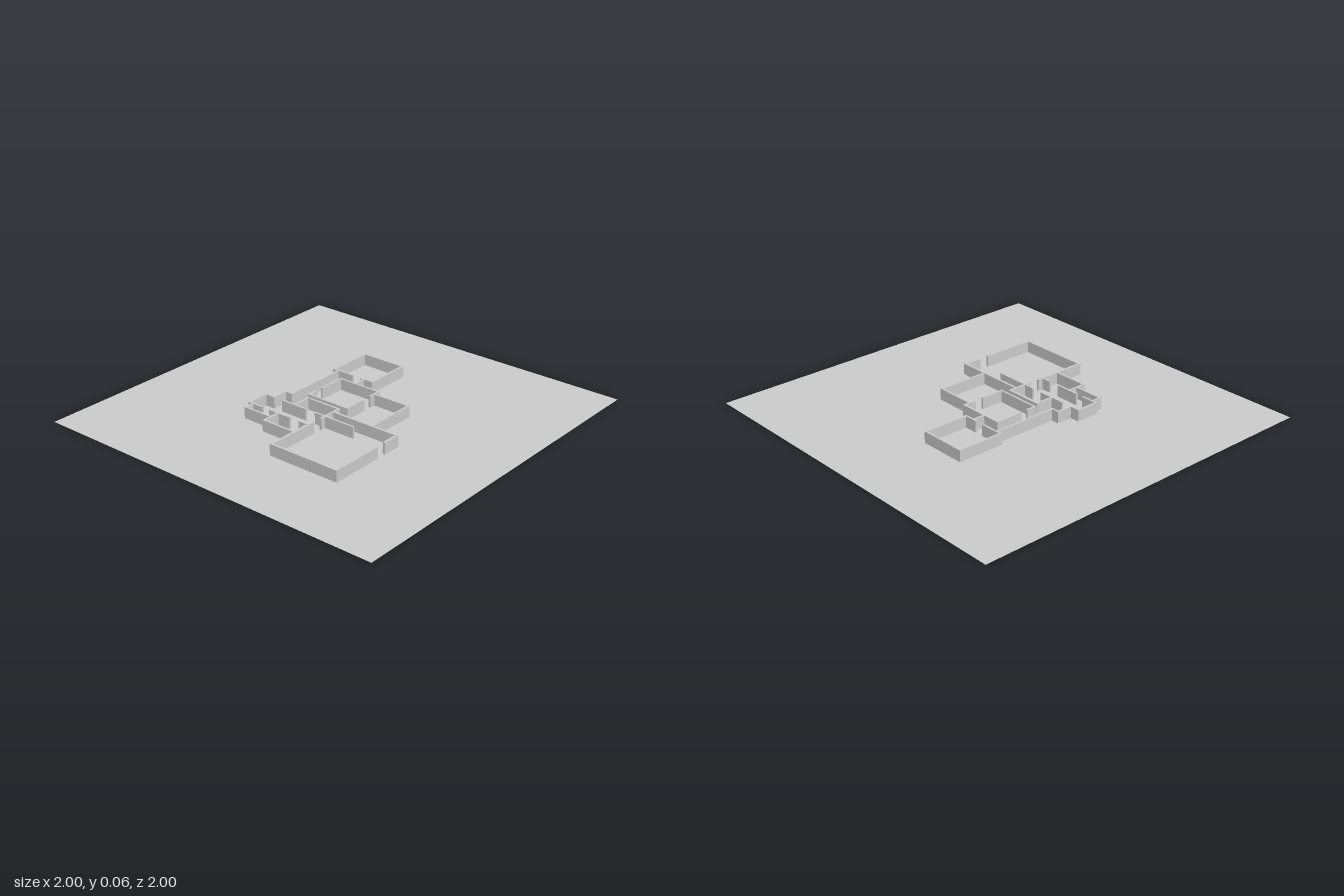
import * as THREE from 'three';

const HEIGHT = 0.062;
const THICK = 0.011;

export function createModel() {
  const model = new THREE.Group();
  const material = new THREE.MeshStandardMaterial({ color: 0xcccccc, flatShading: true });

  // Ground sheet, visible from both sides
  const sheetMaterial = material.clone();
  sheetMaterial.side = THREE.DoubleSide;
  const ground = new THREE.Mesh(new THREE.PlaneGeometry(2, 2).rotateX(-Math.PI / 2), sheetMaterial);
  ground.name = 'groundSheet';
  model.add(ground);

  // Each wall runs along one axis: [x1, z1, x2, z2] on its centre line
  function addRoom(name, walls, thick = THICK) {
    const room = new THREE.Group();
    room.name = name;
    for (const [x1, z1, x2, z2] of walls) {
      const wall = new THREE.Mesh(
        new THREE.BoxGeometry(Math.abs(x2 - x1) + thick, HEIGHT, Math.abs(z2 - z1) + thick), material);
      wall.position.set((x1 + x2) / 2, HEIGHT / 2, (z1 + z2) / 2);
      wall.name = 'wall';
      room.add(wall);
    }
    model.add(room);
  }

  // Large front room with a doorway in its front and back walls
  addRoom('largeRoom', [
    [-0.572, 0.057, -0.572, 0.453],
    [-0.572, 0.057, -0.283, 0.057],
    [-0.572, 0.453, -0.283, 0.453],
    [-0.219, 0.453, -0.128, 0.453],
    [-0.128, 0.062, -0.128, 0.453],
  ], 0.013);

  // Front hall beside the large room
  addRoom('frontHall', [
    [-0.191, 0.062, -0.191, 0.237],
    [-0.122, 0.302, 0.158, 0.302],
    [0.158, 0.088, 0.158, 0.302],
  ]);

  // Middle room with a doorway at the front and at the back
  addRoom('middleRoom', [
    [-0.054, -0.159, -0.054, 0.088],
    [0.192, -0.159, 0.192, 0.088],
    [-0.054, -0.159, -0.005, -0.159],
    [0.046, -0.159, 0.192, -0.159],
    [-0.054, 0.088, 0.069, 0.088],
    [0.127, 0.088, 0.192, 0.088],
  ]);

  // Square side room, open towards the corridor
  addRoom('sideRoom', [
    [0.262, -0.259, 0.512, -0.259],
    [0.512, -0.259, 0.512, -0.009],
    [0.262, -0.009, 0.512, -0.009],
    [0.262, -0.259, 0.262, -0.138],
    [0.262, -0.078, 0.262, -0.009],
  ]);

  // Corridor to the side room
  addRoom('corridor', [
    [0.192, -0.063, 0.262, -0.063],
    [-0.103, -0.233, 0.262, -0.233],
    [-0.103, -0.275, -0.103, -0.233],
    [-0.19, -0.275, -0.103, -0.275],
  ]);

  // Small rooms at the back, split by partitions with doorways
  addRoom('backRooms', [
    [-0.19, -0.328, -0.19, -0.275],
    [-0.31, -0.328, -0.19, -0.328],
    [-0.31, -0.328, -0.31, -0.243],
    [-0.31, -0.19, -0.31, -0.066],
    [-0.31, 0.004, -0.31, 0.055],
    [-0.364, -0.303, -0.31, -0.303],
    [-0.364, -0.303, -0.364, -0.138],
    [-0.412, -0.138, -0.31, -0.138],
    [-0.412, -0.138, -0.412, 0.055],
    [-0.19, -0.212, -0.19, -0.066],
    [-0.19, 0.004, -0.19, 0.06],
    [-0.19, -0.138, -0.088, -0.138],
    [-0.088, -0.138, -0.088, 0.06],
    [-0.219, 0.06, -0.088, 0.06],
  ]);

  return model;
}
